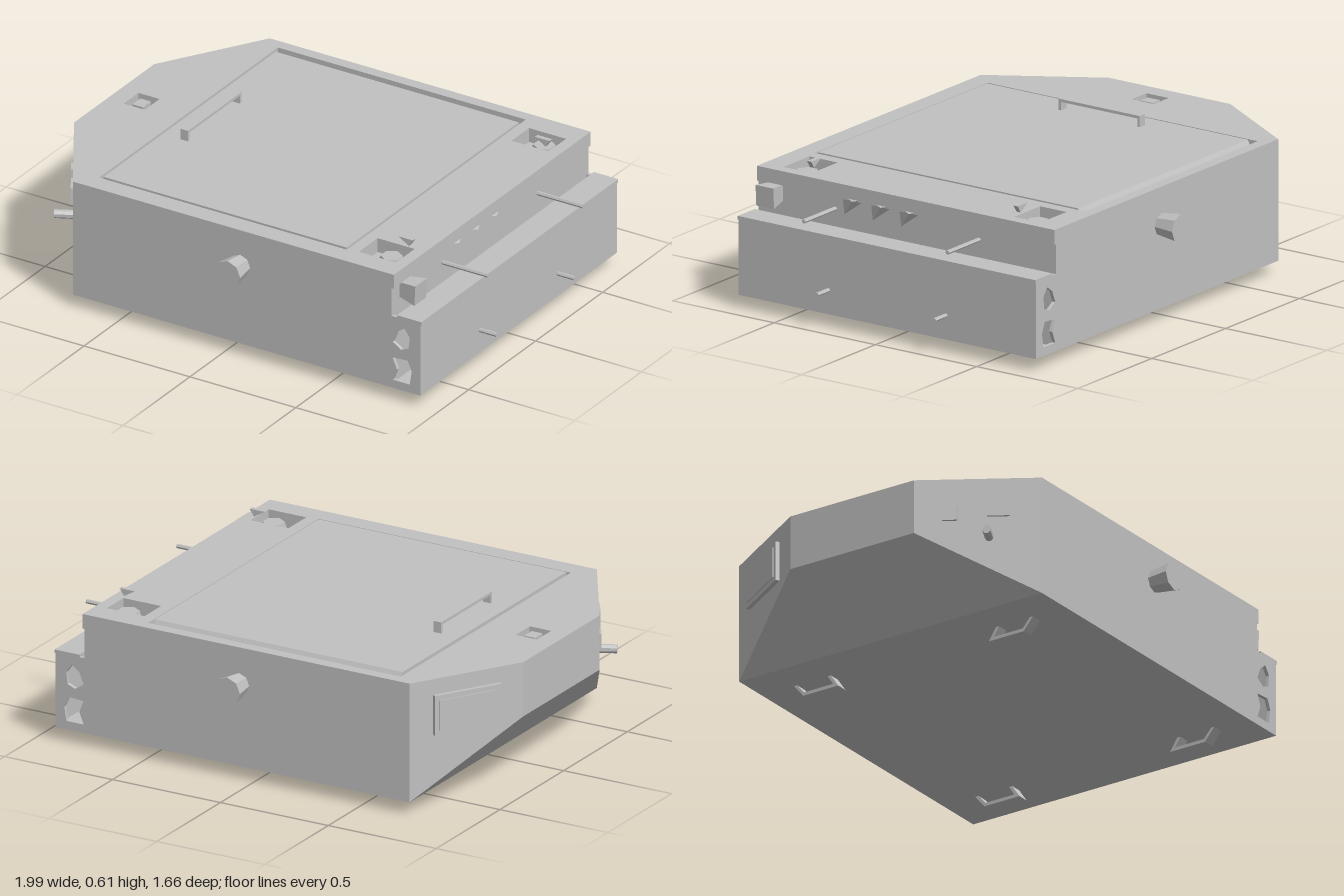
import * as THREE from 'three';
import { ConvexGeometry } from 'three/addons/geometries/ConvexGeometry.js';

export function createModel() {
  const model = new THREE.Group();
  model.name = 'equipmentCase';
  const grey = new THREE.MeshStandardMaterial({ color: 0xc0c0c0 });
  grey.name = 'plain grey';
  grey.flatShading = true;

  const add = (name, geometry, x = 0, y = 0, z = 0) => {
    const mesh = new THREE.Mesh(geometry, grey);
    mesh.name = name;
    mesh.position.set(x, y, z);
    model.add(mesh);
    return mesh;
  };
  const box = (name, x0, x1, y0, y1, z0, z1) => add(name,
    new THREE.BoxGeometry(x1 - x0, y1 - y0, z1 - z0), (x0 + x1) / 2, (y0 + y1) / 2, (z0 + z1) / 2);
  const solid = (corners) => new ConvexGeometry(corners.map((p) => new THREE.Vector3(...p)));
  const points = (list) => list.map(([x, y]) => new THREE.Vector2(x, y));
  const rect = (x0, x1, y0, y1) => points([[x0, y0], [x1, y0], [x1, y1], [x0, y1]]);
  const plate = (outline, holes, depth) => {
    const shape = new THREE.Shape(outline);
    holes.forEach((h) => shape.holes.push(new THREE.Path(h)));
    return new THREE.ExtrudeGeometry(shape, { depth, bevelEnabled: false });
  };
  // Straight rod between two points
  const rod = (name, a, b, r0, r1 = r0, sides = 6) => {
    const from = new THREE.Vector3(...a), to = new THREE.Vector3(...b);
    const dir = to.clone().sub(from);
    const mesh = add(name, new THREE.CylinderGeometry(r1, r0, dir.length(), sides));
    mesh.position.copy(from).add(to).multiplyScalar(0.5);
    mesh.quaternion.setFromUnitVectors(new THREE.Vector3(0, 1, 0), dir.normalize());
    return mesh;
  };

  // Main body: chamfered corners and a nose sloping up from the floor
  const W = 0.735, FLOOR = 0.054, DECK = 0.5, TOP = 0.562;
  const hull = [];
  for (const s of [-1, 1]) {
    for (const [x, y, w] of [[-0.72, FLOOR, W], [-0.72, DECK, W], [-0.99, 0.33, 0.3],
      [-0.99, DECK, 0.3], [0.785, FLOOR, W], [0.785, DECK, W]]) hull.push([x, y, s * w]);
  }
  add('body', solid(hull));

  // Top deck with openings for the lid, corner sockets and nose socket
  const outline = points([[-0.99, -0.3], [-0.72, -W], [0.795, -W], [0.795, W], [-0.72, W], [-0.99, 0.3]]);
  const deck = plate(outline, [
    rect(-0.65, 0.52, -0.65, 0.685),
    rect(0.57, 0.745, 0.5, 0.63), rect(0.57, 0.745, -0.64, -0.5),
    rect(-0.91, -0.81, -0.055, 0.055),
  ], TOP - DECK);
  deck.rotateX(-Math.PI / 2);
  add('deck', deck, 0, DECK, 0);

  // Lid with a sloped rear edge
  const lid = [];
  for (const x of [-0.635, 0.512]) {
    lid.push([x, DECK, -0.685], [x, 0.565, -0.645], [x, 0.565, 0.64], [x, DECK, 0.64]);
  }
  add('lid', solid(lid));
  box('noseLatch', -0.885, -0.835, DECK, 0.555, -0.03, 0.03);

  // Lid handle
  box('lidHandleGrip', -0.55, -0.515, 0.6, 0.612, -0.2, 0.2);
  for (const z of [-0.194, 0.194]) box('lidHandlePost', -0.55, -0.515, 0.56, 0.605, z - 0.006, z + 0.006);

  for (const s of [-1, 1]) {
    // Corner sockets with an angled catch
    rod('cornerSocketPin', [0.68, 0.49, s * 0.57], [0.68, 0.545, s * 0.57], 0.06, 0.045, 6);
    const catchShape = plate(points([[0.68, 0.61], [0.73, 0.58], [0.75, 0.61]]), [], 0.02);
    add('cornerCatch', catchShape, 0, 0, s * 0.51 - 0.01);

    // Flared side knobs
    rod('sideKnob', [0.07, 0.405, s * 0.72], [0.07, 0.405, s * 0.83], 0.045, 0.06, 8);

    // End cover cheeks with rough openings
    const cheek = plate(rect(0.785, 0.92, FLOOR, 0.375), [
      points([[0.79, 0.26], [0.83, 0.235], [0.865, 0.25], [0.87, 0.3], [0.845, 0.335], [0.81, 0.31]]),
      points([[0.79, 0.09], [0.87, 0.09], [0.88, 0.15], [0.86, 0.195], [0.79, 0.19], [0.81, 0.14]]),
    ], 0.015);
    add('endCheek', cheek, 0, 0, s * (W - 0.0075) - 0.0075);

    // Projecting end rods
    rod('upperEndRod', [0.78, 0.45, s * 0.355], [1, 0.45, s * 0.355], 0.009);
    rod('lowerEndRod', [0.91, 0.155, s * 0.29], [1, 0.155, s * 0.29], 0.009);

    // Bent strap feet, drawn in profile along z
    const strap = plate(points([[0.405, 0.06], [0.365, 0], [0.535, 0], [0.585, 0.06],
      [0.57, 0.06], [0.53, 0.014], [0.39, 0.014], [0.42, 0.06]].map(([z, y]) => [s * z, y])), [], 0.05);
    strap.rotateY(-Math.PI / 2);
    for (const x of [-0.51, 0.76]) add('foot', strap, x);
  }

  // Hollow end cover: floor, outer plate and ledge, leaving a slot by the body
  box('endFloor', 0.78, 0.92, FLOOR, 0.072, -W, W);
  box('endPlate', 0.905, 0.92, FLOOR, 0.385, -W, W);
  box('endLedge', 0.81, 0.925, 0.37, 0.385, -W, W);

  // Upper end face: flared socket and a row of small gussets
  const flare = rod('endSocket', [0.78, 0.47, 0.645], [0.865, 0.465, 0.645], 0.045, 0.062, 4);
  flare.rotateY(Math.PI / 4);
  for (const z of [-0.02, 0.12, 0.26]) {
    add('endGusset', solid([[0.785, 0.515, -0.06], [0.785, 0.515, 0.06],
      [0.785, 0.435, 0.05], [0.803, 0.5, 0]]), 0, 0, z);
  }

  // Fittings on the angled nose corners, placed in the plane of each face
  const onCorner = (name, side, t, y, w, h, d) => {
    const mesh = add(name, new THREE.BoxGeometry(w, h, d),
      -0.72 - 0.27 * t, y, side * (W - 0.435 * t));
    mesh.rotation.y = Math.atan2(-0.435, side * 0.27);
    return mesh;
  };
  onCorner('cornerPanel', -1, 0.5, 0.41, 0.3, 0.17, 0.035);
  onCorner('cornerPanelInset', -1, 0.5, 0.41, 0.26, 0.13, 0.045);
  onCorner('cornerSwitch', 1, 0.34, 0.43, 0.09, 0.07, 0.02);
  onCorner('cornerPort', 1, 0.72, 0.41, 0.06, 0.06, 0.02);
  rod('cornerRod', [-0.8, 0.305, 0.54], [-0.9, 0.305, 0.59], 0.018, 0.018, 8);

  return model;
}
